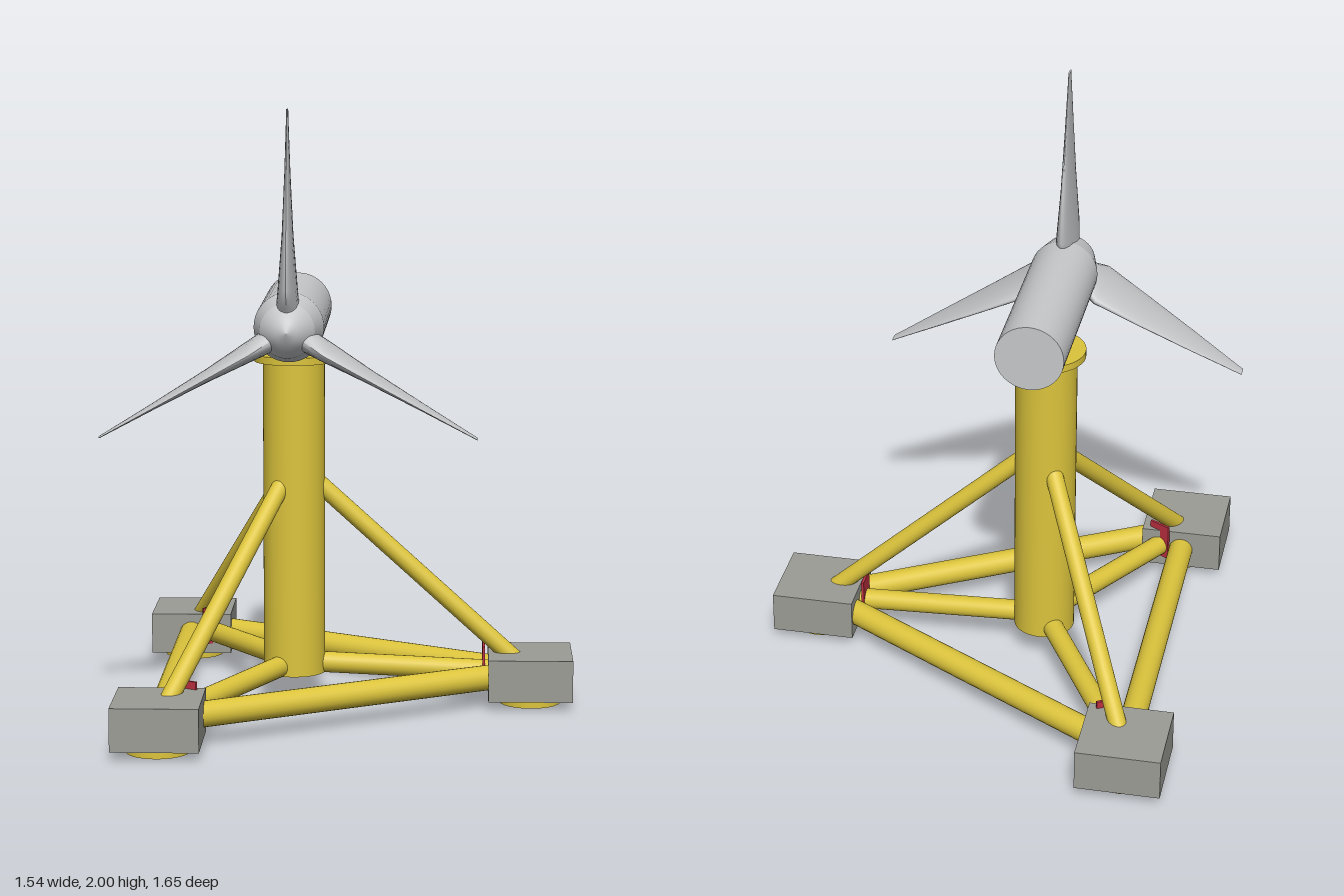
import * as THREE from 'three';

export function createModel() {
  const root = new THREE.Group();
  const yellow = new THREE.MeshStandardMaterial({ name: 'yellow steel', color: 0xdcc43c });
  const grey = new THREE.MeshStandardMaterial({ name: 'concrete grey', color: 0x9c9c96 });
  const silver = new THREE.MeshStandardMaterial({ name: 'pale silver', color: 0xc6c8ca });
  const red = new THREE.MeshStandardMaterial({ name: 'red', color: 0xbc3040 });

  const AXIS_X = -0.16;      // tower axis
  const FOOT_R = 0.79;       // distance of the feet from the axis
  const HUB_Y = 1.3;
  const BLADE_Z = 0.37;

  function add(name, geometry, material, x = 0, y = 0, z = 0, parent = root) {
    const mesh = new THREE.Mesh(geometry, material);
    mesh.name = name;
    mesh.position.set(x, y, z);
    parent.add(mesh);
    return mesh;
  }

  // Straight round bar between two points
  function bar(name, a, b, radius) {
    const dir = b.clone().sub(a);
    const mesh = add(name, new THREE.CylinderGeometry(radius, radius, dir.length(), 24), yellow);
    mesh.position.copy(a).lerp(b, 0.5);
    mesh.quaternion.setFromUnitVectors(new THREE.Vector3(0, 1, 0), dir.normalize());
  }

  // Tower and its top flange
  add('tower', new THREE.CylinderGeometry(0.103, 0.103, 1.06, 40), yellow, AXIS_X, 0.63, 0);
  add('towerFlange', new THREE.CylinderGeometry(0.131, 0.131, 0.025, 40), yellow, AXIS_X, 1.163, 0);

  // Three feet with pads, radial bars, braces and red plates
  const angles = [0, 1, 2].map((i) => (i * Math.PI * 2) / 3);
  const at = (angle, r, y) =>
    new THREE.Vector3(AXIS_X + Math.cos(angle) * r, y, Math.sin(angle) * r);
  angles.forEach((angle, i) => {
    const foot = at(angle, FOOT_R, 0.1);
    add('footBlock', new THREE.BoxGeometry(0.28, 0.14, 0.28), grey, foot.x, 0.1, foot.z);
    add('footPad', new THREE.CylinderGeometry(0.103, 0.103, 0.04, 32), yellow, foot.x, 0.02, foot.z);
    bar('baseBeam', foot, at(angles[(i + 1) % 3], FOOT_R, 0.1), 0.042);
    bar('radialBar', at(angle, 0, 0.135), foot, 0.035);
    bar('brace', at(angle, 0, 0.815), foot, 0.03);
    const p = at(angle, 0.635, 0.13);
    const plate = add('redPlate', new THREE.BoxGeometry(0.009, 0.13, 0.08), red, p.x, p.y, p.z);
    plate.rotation.y = -angle;
  });

  // Nacelle: cylinder with a tapered shoulder
  const nacelleProfile = [[0, -0.305], [0.113, -0.305], [0.113, -0.305], [0.113, 0.31],
    [0.113, 0.31], [0.088, 0.41]];
  // Rounded nose cone
  const noseProfile = [[0.088, 0.41], [0.065, 0.445], [0.035, 0.472], [0, 0.485]];
  const lathe = (profile) => new THREE.LatheGeometry(
    profile.map(([r, h]) => new THREE.Vector2(r, h)), 40).rotateX(Math.PI / 2);
  const nacelleParts = [['nacelleBack', nacelleProfile.slice(0, 2)],
    ['nacelleBody', nacelleProfile.slice(2, 4)], ['nacelleShoulder', nacelleProfile.slice(4)],
    ['nose', noseProfile]];
  for (const [name, profile] of nacelleParts) add(name, lathe(profile), silver, AXIS_X, HUB_Y, 0);

  // Blade stations: radius, half chord, half thickness
  const stations = [[0.03, 0.06, 0.036], [0.075, 0.085, 0.037], [0.135, 0.131, 0.031],
    [0.3, 0.106, 0.018], [0.5, 0.066, 0.009], [0.66, 0.029, 0.004], [0.7, 0.021, 0.003]];
  function bladeGeometry() {
    const n = stations.length - 1;
    const g = new THREE.CylinderGeometry(1, 1, 1, 28, n);
    const pos = g.attributes.position;
    for (let i = 0; i < pos.count; i++) {
      const [r, chord, thick] = stations[Math.round((pos.getY(i) + 0.5) * n)];
      pos.setXYZ(i, pos.getX(i) * thick, r, pos.getZ(i) * chord);
    }
    g.computeVertexNormals();
    return g;
  }
  const rotor = new THREE.Group();
  rotor.name = 'rotor';
  rotor.position.set(AXIS_X, HUB_Y, BLADE_Z);
  root.add(rotor);
  const blade = bladeGeometry();
  for (const angle of angles) add('blade', blade, silver, 0, 0, 0, rotor).rotation.z = angle;

  return root;
}
